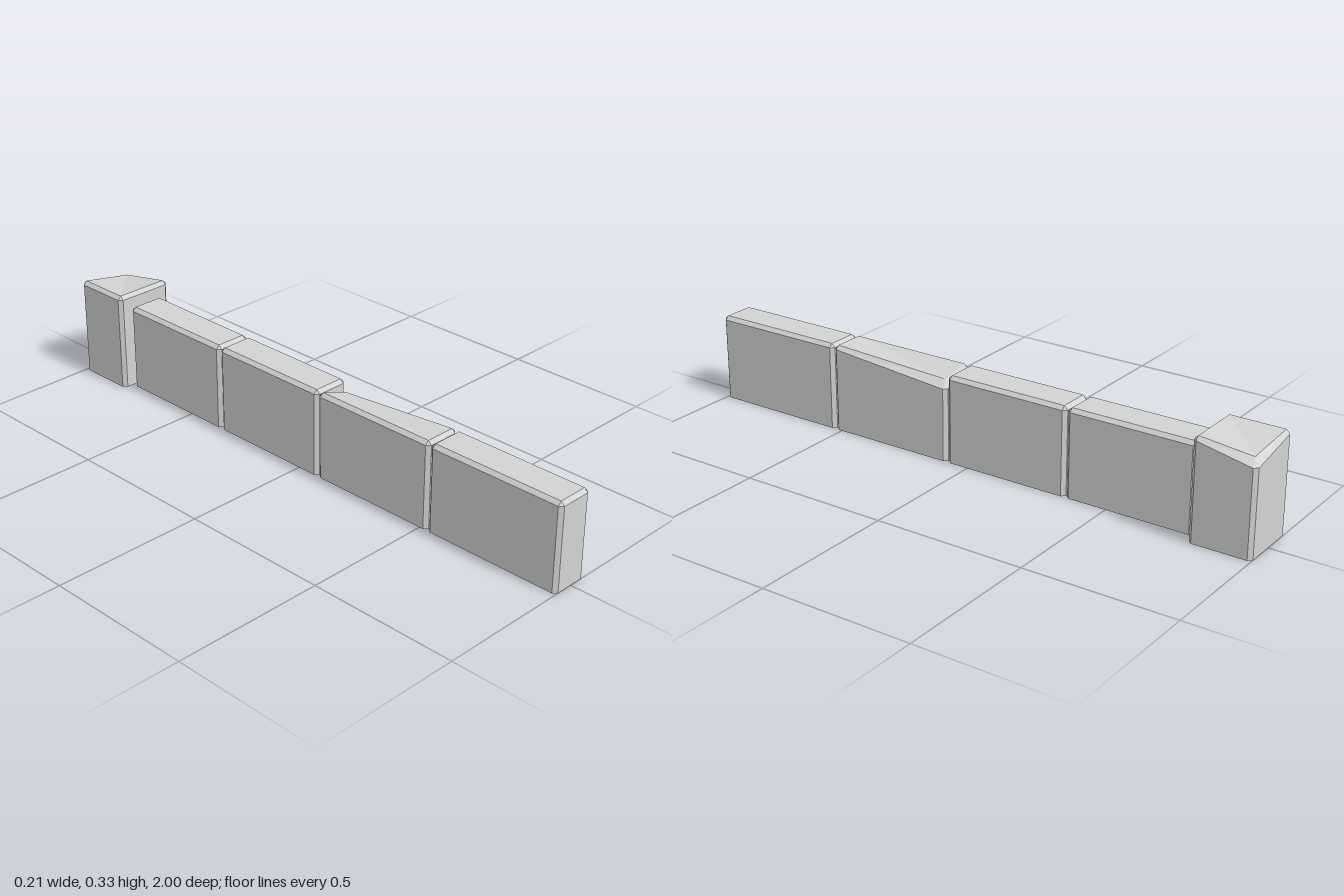
import * as THREE from 'three';

// Stone block with chamfered upright and top edges; chip sinks its right back top corner.
function blockGeometry(w, h, d, c, chip) {
  const corners = [[1, 1], [1, -1], [-1, -1], [-1, 1]];
  const base = [], shoulder = [], top = [], pos = [];
  corners.forEach(([sx, sz], i) => {
    const x = sx * w / 2, z = sz * d / 2, low = chip && i === 1;
    const pair = [[x - sx * c, z], [x, z - sz * c]];
    if (i % 2) pair.reverse();
    for (const [px, pz] of pair) {
      base.push([px, 0, pz]);
      shoulder.push([px, low ? h - c - 0.036 : h - c, pz]);
    }
    top.push(low
      ? [x - sx * (c + 0.016), h - 0.026, z - sz * (c + 0.01)]
      : [x - sx * c, h, z - sz * c]);
  });
  const tri = (...p) => p.forEach((v) => pos.push(...v));
  const quad = (p, q, r, s) => { tri(p, q, r); tri(p, r, s); };

  // Upright faces and underside
  for (let i = 0; i < 8; i++) {
    const j = (i + 1) % 8;
    quad(base[i], base[j], shoulder[j], shoulder[i]);
    tri([0, 0, 0], base[j], base[i]);
  }
  // Top chamfers and corner facets
  for (let i = 0; i < 4; i++) {
    const j = (i + 1) % 4;
    tri(shoulder[2 * i], shoulder[2 * i + 1], top[i]);
    quad(shoulder[2 * i + 1], shoulder[2 * j], top[j], top[i]);
  }
  // Top face, folded through the chipped corner
  quad(top[1], top[2], top[3], top[0]);

  const g = new THREE.BufferGeometry();
  g.setAttribute('position', new THREE.Float32BufferAttribute(pos, 3));
  g.computeVertexNormals();
  return g;
}

export function createModel() {
  const group = new THREE.Group();
  const stone = new THREE.MeshStandardMaterial({ color: 0xd3d3d3 });
  stone.name = 'pale grey stone';

  const addBlock = (name, x, w, h, z0, z1, chip) => {
    const mesh = new THREE.Mesh(blockGeometry(w, h, z1 - z0, 0.012, chip), stone);
    mesh.name = name;
    mesh.position.set(x, 0, (z0 + z1) / 2);
    group.add(mesh);
  };

  // Row of wall blocks, front to back
  const spans = [[0.528, 1], [0.08, 0.525], [-0.355, 0.077], [-0.79, -0.358]];
  spans.forEach(([z0, z1], i) => addBlock(`wallBlock${i + 1}`, -0.005, 0.126, 0.29, z0, z1, i === 1));

  // End post
  addBlock('endPost', 0, 0.206, 0.33, -1, -0.798, true);
  return group;
}
